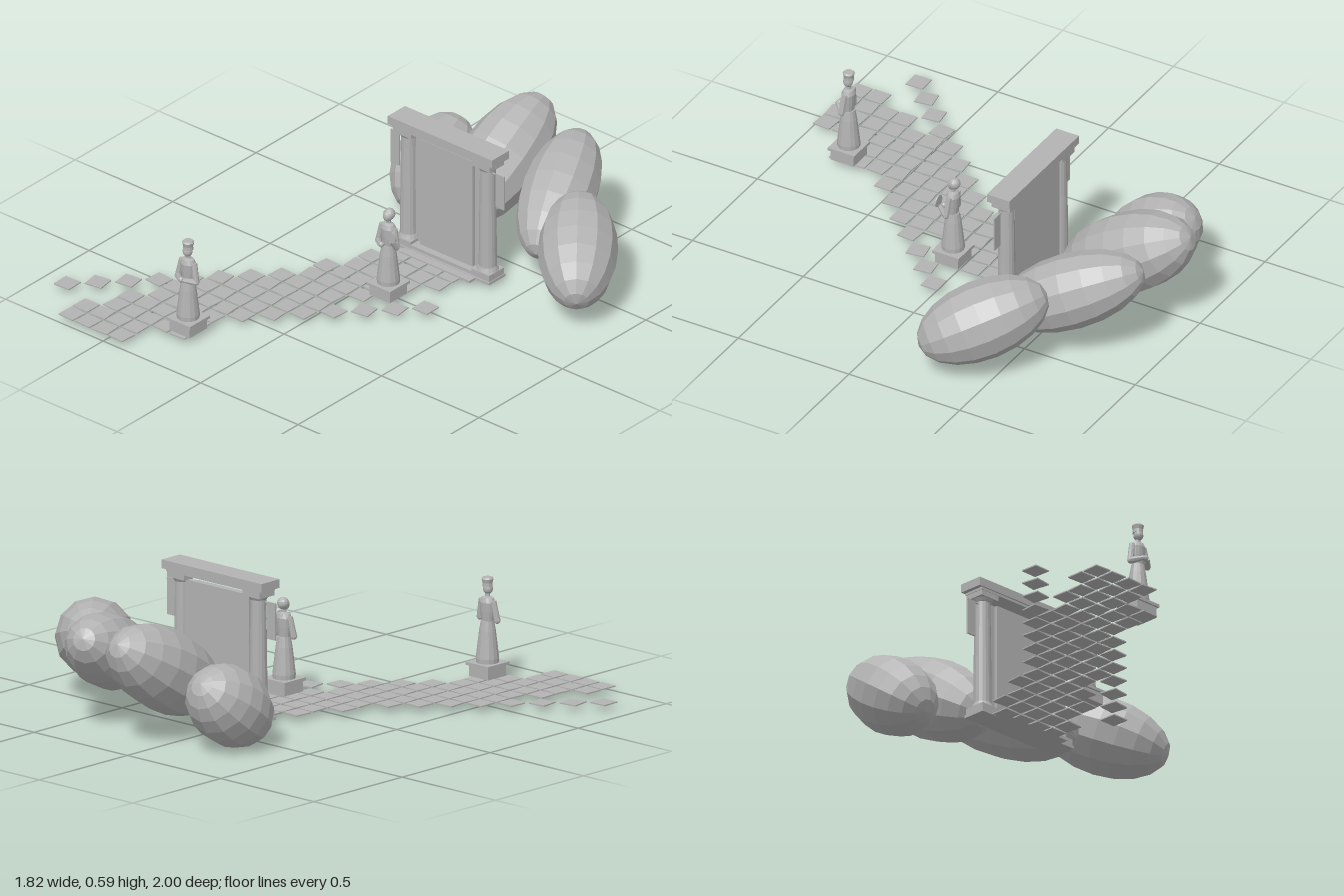
import * as THREE from 'three';

const stone = new THREE.MeshStandardMaterial({ color: 0xb2b2b2, flatShading: true });
stone.name = 'grey stone';

const GROUND = 0.035;
const deg = Math.PI / 180;

function add(parent, name, geometry, x = 0, y = 0, z = 0) {
  const mesh = new THREE.Mesh(geometry, stone);
  mesh.name = name;
  mesh.position.set(x, y, z);
  parent.add(mesh);
  return mesh;
}

// Box given by its bottom height
function block(parent, name, w, h, d, x, y, z) {
  return add(parent, name, new THREE.BoxGeometry(w, h, d), x, y + h / 2, z);
}

// Round limb between two points
function limb(parent, name, a, b, r0, r1) {
  const from = new THREE.Vector3(...a), to = new THREE.Vector3(...b);
  const dir = to.clone().sub(from);
  const mesh = add(parent, name, new THREE.CylinderGeometry(r1, r0, dir.length(), 8));
  mesh.position.copy(from).addScaledVector(dir, 0.5);
  mesh.quaternion.setFromUnitVectors(new THREE.Vector3(0, 1, 0), dir.normalize());
  return mesh;
}

function lathe(points, sides) {
  return new THREE.LatheGeometry(points.map(([r, y]) => new THREE.Vector2(r, y)), sides);
}

// Diagonal path of separate paving slabs: [first, last, ...loose] columns for each row
function buildPath() {
  const path = new THREE.Group();
  path.name = 'path';
  const rows = [
    [0, 3], [-1, 3], [-1, 2], [-2, 2, 4], [-2, 1, 3], [-3, 0, 2], [-4, 1], [-5, 0],
    [-6, -1], [-7, -2], [-6, -3, -8], [-7, -3, -9], [-7, -3, -10], [-8, -5], [-8, -5],
  ];
  const pitch = 0.0847;
  const slab = new THREE.BoxGeometry(0.075, 0.005, 0.075);
  rows.forEach(([first, last, ...loose], r) => {
    const columns = [...loose];
    for (let c = first; c <= last; c++) columns.push(c);
    for (const c of columns) {
      const tile = add(path, 'pavingSlab', slab, -0.024 + c * pitch, GROUND - 0.0025, -0.235 + r * pitch);
      tile.rotation.y = 0.08 * Math.sin(r * 2.3 + c * 4.1) + (loose.includes(c) ? 0.09 : 0);
    }
  });
  return path;
}

// Gate: steps, two columns, closed wall, stepped beam and hanging banners
function buildGate() {
  const gate = new THREE.Group();
  gate.name = 'gate';
  gate.position.set(0.137, 0, -0.325);
  block(gate, 'baseSlab', 0.5, 0.012, 0.1, 0, 0.03, 0);
  block(gate, 'frontStep', 0.36, 0.01, 0.06, 0, 0.03, 0.055);
  block(gate, 'threshold', 0.34, 0.015, 0.07, 0, 0.042, 0.008);
  block(gate, 'doorWall', 0.34, 0.49, 0.02, 0, 0.042, -0.01);
  block(gate, 'doorPanel', 0.27, 0.475, 0.02, 0, 0.055, 0.004);

  const shaft = lathe([[0.039, 0.07], [0.036, 0.09], [0.034, 0.3], [0.031, 0.52], [0.037, 0.53]], 16);
  for (const side of [-1, 1]) {
    const column = new THREE.Group();
    column.name = 'column';
    column.position.x = side * 0.202;
    gate.add(column);
    block(column, 'columnFoot', 0.09, 0.03, 0.09, 0, 0.04, 0);
    add(column, 'columnRing', new THREE.CylinderGeometry(0.038, 0.044, 0.016, 16), 0, 0.078, 0);
    add(column, 'columnShaft', shaft);
    add(column, 'capitalRing', new THREE.CylinderGeometry(0.043, 0.034, 0.015, 16), 0, 0.527, 0);
    block(column, 'capital', 0.092, 0.022, 0.085, 0, 0.533, 0);
    block(gate, 'banner', 0.043, 0.15, 0.006, side * 0.269, 0.365, 0.005);
    add(gate, 'bannerRod', new THREE.CylinderGeometry(0.003, 0.003, 0.06, 6), side * 0.262, 0.51, 0.005)
      .rotation.z = Math.PI / 2;
  }
  block(gate, 'lowerBeam', 0.5, 0.012, 0.09, 0, 0.555, 0);
  block(gate, 'upperBeam', 0.535, 0.035, 0.103, 0, 0.565, 0);
  return gate;
}

// Robed statue on a rimmed pedestal
function buildStatue(x, z, withHat) {
  const s = new THREE.Group();
  s.name = 'statue';
  s.position.set(x, 0, z);
  block(s, 'pedestal', 0.103, 0.048, 0.103, 0, GROUND, 0);
  block(s, 'pedestalRim', 0.12, 0.012, 0.12, 0, 0.08, 0);
  add(s, 'robe', lathe([[0, 0.09], [0.045, 0.09], [0.046, 0.11], [0.04, 0.16], [0.033, 0.22], [0.026, 0.26], [0, 0.262]], 14));
  add(s, 'torso', lathe([[0, 0.25], [0.025, 0.255], [0.031, 0.3], [0.034, 0.335], [0.026, 0.352], [0.011, 0.358], [0.01, 0.375], [0, 0.376]], 14))
    .scale.z = 0.8;
  for (const side of [-1, 1]) {
    limb(s, 'upperArm', [side * 0.031, 0.342, 0], [side * 0.046, 0.265, 0.006], 0.012, 0.013);
    add(s, 'elbow', new THREE.SphereGeometry(0.013, 8, 6), side * 0.046, 0.265, 0.006);
    if (withHat || side < 0)
      limb(s, 'forearm', [side * 0.046, 0.265, 0.006], [side * 0.008, 0.277, 0.044], 0.014, 0.009);
  }
  add(s, 'hands', new THREE.SphereGeometry(0.012, 8, 6), 0, 0.277, 0.042);
  const head = add(s, 'head', new THREE.SphereGeometry(0.02, 12, 9), 0, 0.388, 0.003);
  head.scale.y = 1.15;
  if (withHat) {
    add(s, 'hat', lathe([[0, 0.395], [0.021, 0.397], [0.02, 0.412], [0.024, 0.428], [0.019, 0.434], [0, 0.434]], 12));
  } else {
    add(s, 'hair', new THREE.SphereGeometry(0.024, 12, 8), 0, 0.394, -0.006);
    // Raised arm with a fan
    limb(s, 'forearm', [0.046, 0.265, 0.006], [0.046, 0.305, 0.036], 0.013, 0.009);
    const fan = add(s, 'fan', new THREE.CylinderGeometry(0.025, 0.025, 0.006, 12), 0.048, 0.325, 0.038);
    fan.rotation.x = Math.PI / 2;
  }
  return s;
}

// Long faceted boulders, tilted up towards the back
function buildBoulders() {
  const boulders = new THREE.Group();
  boulders.name = 'boulders';
  const ball = new THREE.SphereGeometry(1, 12, 10);
  // x, y, z, radius, half length, tilt, turn
  const list = [
    [-0.227, 0.184, -0.66, 0.156, 0.217, 35, 4],
    [0.07, 0.285, -0.72, 0.163, 0.315, 30, 2],
    [0.415, 0.285, -0.663, 0.15, 0.308, 23, 22],
    [0.708, 0.242, -0.434, 0.157, 0.272, 21, 39],
  ];
  for (const [x, y, z, radius, half, tilt, turn] of list) {
    const boulder = add(boulders, 'boulder', ball, x, y, z);
    boulder.scale.set(radius, half, radius);
    boulder.rotation.set((tilt - 90) * deg, turn * deg, 0, 'YXZ');
  }
  return boulders;
}

export function createModel() {
  const model = new THREE.Group();
  model.name = 'shrineGate';
  model.add(buildPath(), buildGate(), buildBoulders());
  model.add(buildStatue(-0.278, 0.75, true), buildStatue(0.137, 0.035, false));
  return model;
}
